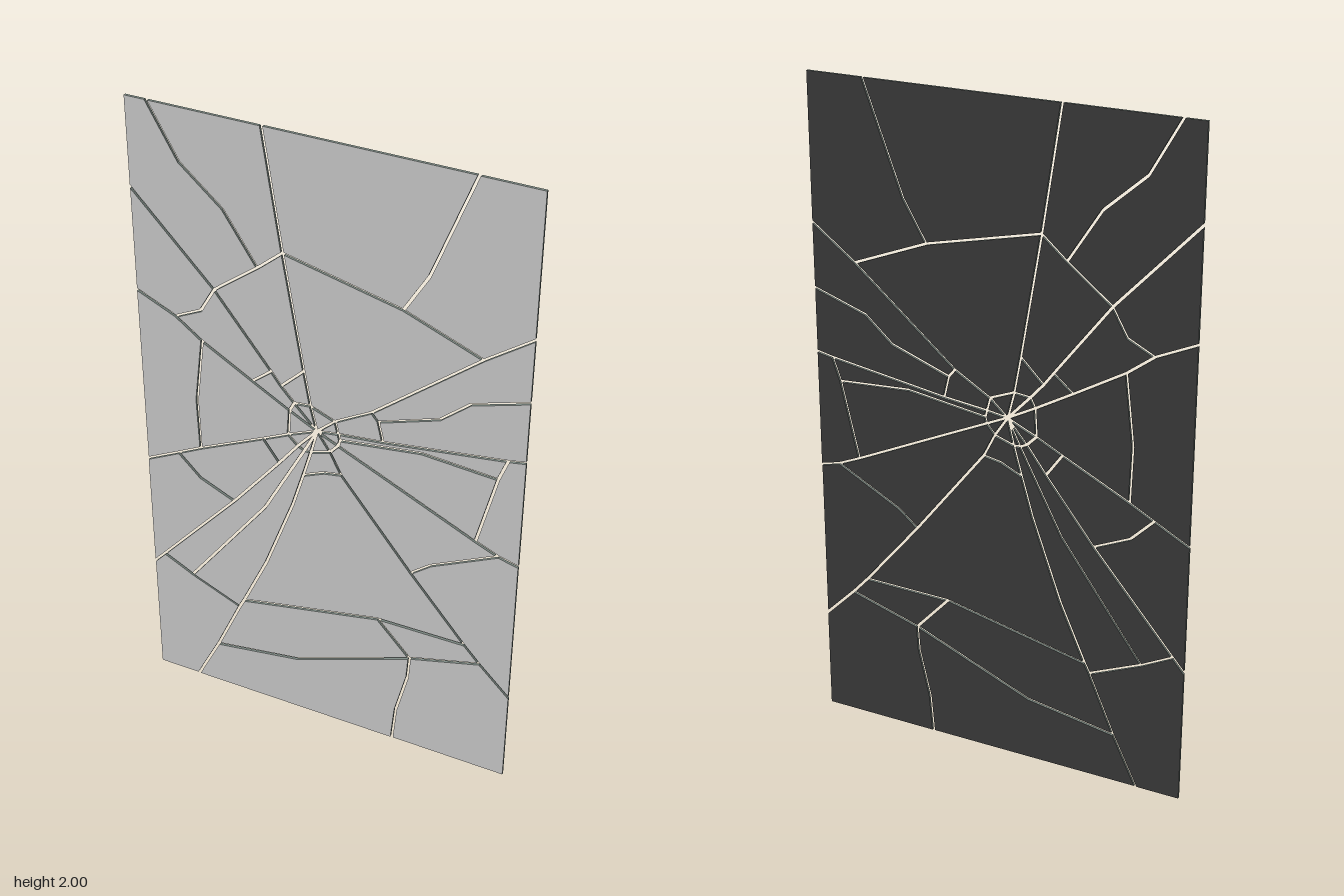
import * as THREE from 'three';

const W = 0.585, H = 2, DEPTH = 0.008, GAP = 0.004;

// Cracks running out from the point of impact; each is a flat list x, y, x, y ...
const rays = [
  [-0.03, 1.09, -0.05, 1.17, -0.07, 1.28, -0.13, 1.64, -0.185, 2],
  [-0.03, 1.09, -0.1, 1.165, -0.14, 1.21, -0.17, 1.25, -0.34, 1.47, -W, 1.73],
  [-0.03, 1.09, -0.115, 1.135, -0.23, 1.2, -0.385, 1.29, -0.465, 1.35, -W, 1.405],
  [-0.03, 1.09, -0.12, 1.05, -0.2, 1.01, -0.405, 0.91, -0.48, 0.87, -W, 0.815],
  [-0.03, 1.09, -0.09, 1.02, -0.15, 0.94, -0.3, 0.75, -0.55, 0.46, -W, 0.42],
  [-0.03, 1.09, -0.07, 1.01, -0.2, 0.76, -0.455, 0.41],
  [-0.03, 1.09, -0.05, 1.01, -0.075, 0.92, -0.11, 0.8, -0.2, 0.55, -0.28, 0.37,
    -0.295, 0.34, -0.375, 0.155, -0.45, 0],
  [-0.03, 1.09, 0.01, 1.03, 0.045, 0.96, 0.265, 0.68, 0.44, 0.47, 0.49, 0.415, W, 0.32],
  [-0.03, 1.09, 0.035, 1.06, 0.165, 1, 0.455, 0.865, 0.525, 0.835, W, 0.82],
  [-0.03, 1.09, 0.035, 1.1, 0.17, 1.115, 0.535, 1.17, W, 1.18],
  [-0.03, 1.09, 0.025, 1.14, 0.135, 1.205, 0.45, 1.47, W, 1.57],
  [0.04, 1.08, 0.285, 1.115, 0.51, 1.1],
];

// Cracks that run across between the rays, starting with the ring round the impact
const crossCracks = [
  [-0.05, 1.17, -0.1, 1.165, -0.115, 1.135, -0.12, 1.05, -0.09, 1.02, -0.07, 1.01, -0.05, 1.01,
    0.01, 1.03, 0.035, 1.06, 0.04, 1.08, 0.035, 1.1, 0.025, 1.14, -0.05, 1.17],
  [-0.52, 2, -0.43, 1.84, -0.305, 1.73, -0.205, 1.575],
  [-0.465, 1.35, -0.385, 1.39, -0.34, 1.47, -0.205, 1.575, -0.13, 1.64, 0.22, 1.56, 0.45, 1.47],
  [0.41, 2, 0.29, 1.68, 0.22, 1.56],
  [0.135, 1.205, 0.155, 1.18, 0.17, 1.115],
  [0.155, 1.18, 0.335, 1.245, 0.42, 1.32, W, 1.375],
  [0.535, 1.17, 0.51, 1.1, 0.455, 0.865],
  [-0.385, 1.29, -0.41, 1.08, -0.405, 0.91],
  [-0.48, 0.87, -0.41, 0.8, -0.3, 0.75],
  [-0.55, 0.46, -0.455, 0.41, -0.295, 0.34],
  [-0.28, 0.37, 0.165, 0.465, 0.44, 0.47],
  [0.165, 0.465, 0.27, 0.35],
  [-0.375, 0.155, -0.1, 0.2, 0.27, 0.35, 0.49, 0.415],
  [0.27, 0.35, 0.265, 0.27, 0.23, 0.12, 0.22, 0],
  [0.265, 0.68, 0.325, 0.73, 0.525, 0.835],
  [-0.075, 0.92, -0.01, 0.95, 0.045, 0.96],
  [-0.2, 1.01, -0.15, 0.94],
  [-0.23, 1.2, -0.17, 1.25],
  [-0.14, 1.21, -0.07, 1.28],
];

// Join cracks and pane border into one network of points and links
function buildNetwork() {
  const points = new Map();
  const point = (x, y) => {
    const key = `${x},${y}`;
    if (!points.has(key)) points.set(key, { x, y, links: [] });
    return points.get(key);
  };
  const link = (a, b) => {
    if (a === b || a.links.includes(b)) return;
    a.links.push(b);
    b.links.push(a);
  };
  for (const c of [...rays, ...crossCracks]) {
    for (let i = 2; i < c.length; i += 2) link(point(c[i - 2], c[i - 1]), point(c[i], c[i + 1]));
  }
  for (const x of [-W, W]) for (const y of [0, H]) point(x, y);
  const all = [...points.values()];
  for (const [axis, value, along] of [['x', -W, 'y'], ['x', W, 'y'], ['y', 0, 'x'], ['y', H, 'x']]) {
    const side = all.filter(p => p[axis] === value).sort((a, b) => a[along] - b[along]);
    for (let i = 1; i < side.length; i++) link(side[i - 1], side[i]);
  }
  return all;
}

const area = loop => loop.reduce((sum, p, i) => {
  const q = loop[(i + 1) % loop.length];
  return sum + (p.x * q.y - q.x * p.y) / 2;
}, 0);

// Walk round every closed region of the network, counterclockwise
function traceShards(all) {
  for (const p of all) {
    const angle = q => Math.atan2(q.y - p.y, q.x - p.x);
    p.links.sort((a, b) => angle(a) - angle(b));
    p.used = new Set();
  }
  const loops = [];
  for (const start of all) for (const first of start.links) {
    const loop = [];
    let a = start, b = first;
    while (!a.used.has(b)) {
      a.used.add(b);
      loop.push(a);
      const n = b.links.length;
      const next = b.links[(b.links.indexOf(a) + n - 1) % n];
      a = b;
      b = next;
    }
    if (loop.length > 2 && area(loop) > 0) loops.push(loop);
  }
  return loops;
}

// Pull crack edges inward by the gap, leaving the pane border in place
function inset(loop) {
  const n = loop.length;
  const edges = loop.map((p, i) => {
    const q = loop[(i + 1) % n];
    const len = Math.hypot(q.x - p.x, q.y - p.y);
    const onBorder = (p.x === q.x && Math.abs(p.x) === W) || (p.y === q.y && (p.y === 0 || p.y === H));
    return { x: -(q.y - p.y) / len, y: (q.x - p.x) / len, d: onBorder ? 0 : GAP };
  });
  return loop.map((p, i) => {
    const a = edges[(i + n - 1) % n], b = edges[i];
    const det = a.x * b.y - a.y * b.x;
    if (Math.abs(det) < 0.05) {
      return new THREE.Vector2(p.x + (a.x * a.d + b.x * b.d) / 2, p.y + (a.y * a.d + b.y * b.d) / 2);
    }
    return new THREE.Vector2(p.x + (a.d * b.y - b.d * a.y) / det, p.y + (a.x * b.d - b.x * a.d) / det);
  });
}

export function createModel() {
  const pane = new THREE.Group();
  pane.name = 'crackedPane';
  const face = new THREE.MeshStandardMaterial({ color: 0xcccccc });
  const edge = new THREE.MeshStandardMaterial({ color: 0x7d8a84 });
  const back = new THREE.MeshStandardMaterial({ color: 0x3a3a3a });

  let seed = 7;
  const wobble = () => ((seed = (seed * 16807) % 2147483647) / 2147483647 - 0.5) * 2;

  traceShards(buildNetwork()).forEach((loop, i) => {
    const outline = inset(loop);
    if (area(outline) <= 0) return;
    const centre = outline.reduce((s, p) => s.add(p), new THREE.Vector2()).divideScalar(outline.length);
    const shape = new THREE.Shape(outline.map(p => p.clone().sub(centre)));
    const geometry = new THREE.ExtrudeGeometry(shape, { depth: DEPTH, bevelEnabled: false });
    geometry.translate(0, 0, -DEPTH / 2);

    // Split the two caps so the front, edges and dark backing differ
    const [caps, sides] = geometry.groups;
    geometry.clearGroups();
    geometry.addGroup(0, caps.count / 2, 2);
    geometry.addGroup(caps.count / 2, caps.count / 2, 0);
    geometry.addGroup(sides.start, sides.count, 1);

    // Each shard sits very slightly out of line with its neighbours
    const shard = new THREE.Mesh(geometry, [face, edge, back]);
    shard.name = `shard${i + 1}`;
    shard.position.set(centre.x, centre.y, wobble() * 0.0008);
    shard.rotation.set(wobble() * 0.002, wobble() * 0.002, 0);
    pane.add(shard);
  });
  return pane;
}
